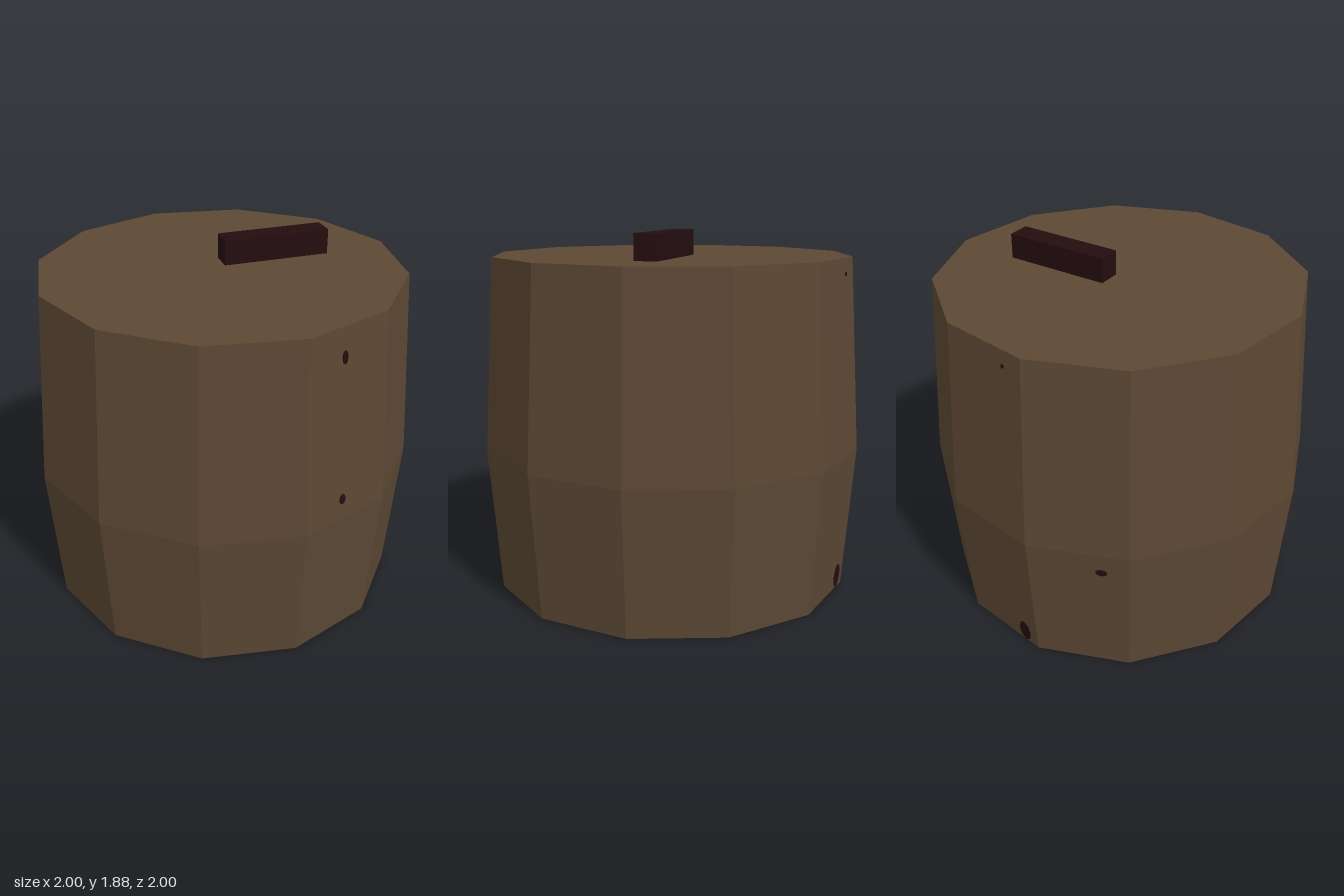
import * as THREE from 'three';

const SIDES = 12;
const HEIGHT = 1.75;
const BELLY = 0.75;
const R_END = 0.94;
const R_BELLY = 1;

const wood = new THREE.MeshStandardMaterial({ color: 0x5c4834, flatShading: true, side: THREE.DoubleSide });
wood.name = 'brown wood';
const dark = new THREE.MeshStandardMaterial({ color: 0x240d0f, flatShading: true });
dark.name = 'dark stain';

function addMesh(parent, name, geometry, material) {
  const mesh = new THREE.Mesh(geometry, material);
  mesh.name = name;
  parent.add(mesh);
  return mesh;
}

// Thin oval mark lying on one stave: facing angle, offset along the stave, height, size
function addKnot(parent, degrees, along, y, width, height) {
  const upper = y > BELLY;
  const rise = upper ? HEIGHT - BELLY : BELLY;
  const k = Math.abs(y - BELLY) / rise;
  const flat = Math.cos(Math.PI / SIDES);
  const distance = (R_BELLY + (R_END - R_BELLY) * k) * flat;
  const tilt = Math.atan(((R_BELLY - R_END) * flat) / rise) * (upper ? -1 : 1);

  const pivot = new THREE.Group();
  pivot.name = 'knotMount';
  pivot.rotation.y = THREE.MathUtils.degToRad(degrees);
  parent.add(pivot);

  const geometry = new THREE.CylinderGeometry(0.5, 0.5, 0.008, 8).rotateX(Math.PI / 2);
  geometry.scale(width, height, 1);
  const knot = addMesh(pivot, 'knot', geometry, dark);
  knot.position.set(along, y, distance);
  knot.rotation.x = tilt;
}

export function createModel() {
  const barrel = new THREE.Group();
  barrel.name = 'barrel';

  // Bulging twelve-sided wall, open at the bottom
  const profile = [[R_END, 0], [R_BELLY, BELLY], [R_END, HEIGHT]].map(([r, y]) => new THREE.Vector2(r, y));
  addMesh(barrel, 'staves', new THREE.LatheGeometry(profile, SIDES), wood);

  // Flat lid
  const lid = addMesh(barrel, 'lid', new THREE.CircleGeometry(R_END, SIDES).rotateX(-Math.PI / 2), wood);
  lid.position.y = HEIGHT;

  // Block handle set off-centre on the lid
  const handle = addMesh(barrel, 'handle', new THREE.BoxGeometry(0.56, 0.13, 0.12), dark);
  handle.position.set(0.25, HEIGHT + 0.065, -0.19);
  handle.rotation.y = THREE.MathUtils.degToRad(24.5);

  // Small dark knots in the staves
  [
    [45, -0.03, 1.6, 0.035, 0.07],
    [45, -0.03, 0.86, 0.04, 0.055],
    [225, 0.115, 0.64, 0.06, 0.04],
    [195, 0.155, 0.07, 0.08, 0.13],
    [195, 0.13, 1.67, 0.02, 0.02],
  ].forEach((knot) => addKnot(barrel, ...knot));

  return barrel;
}
